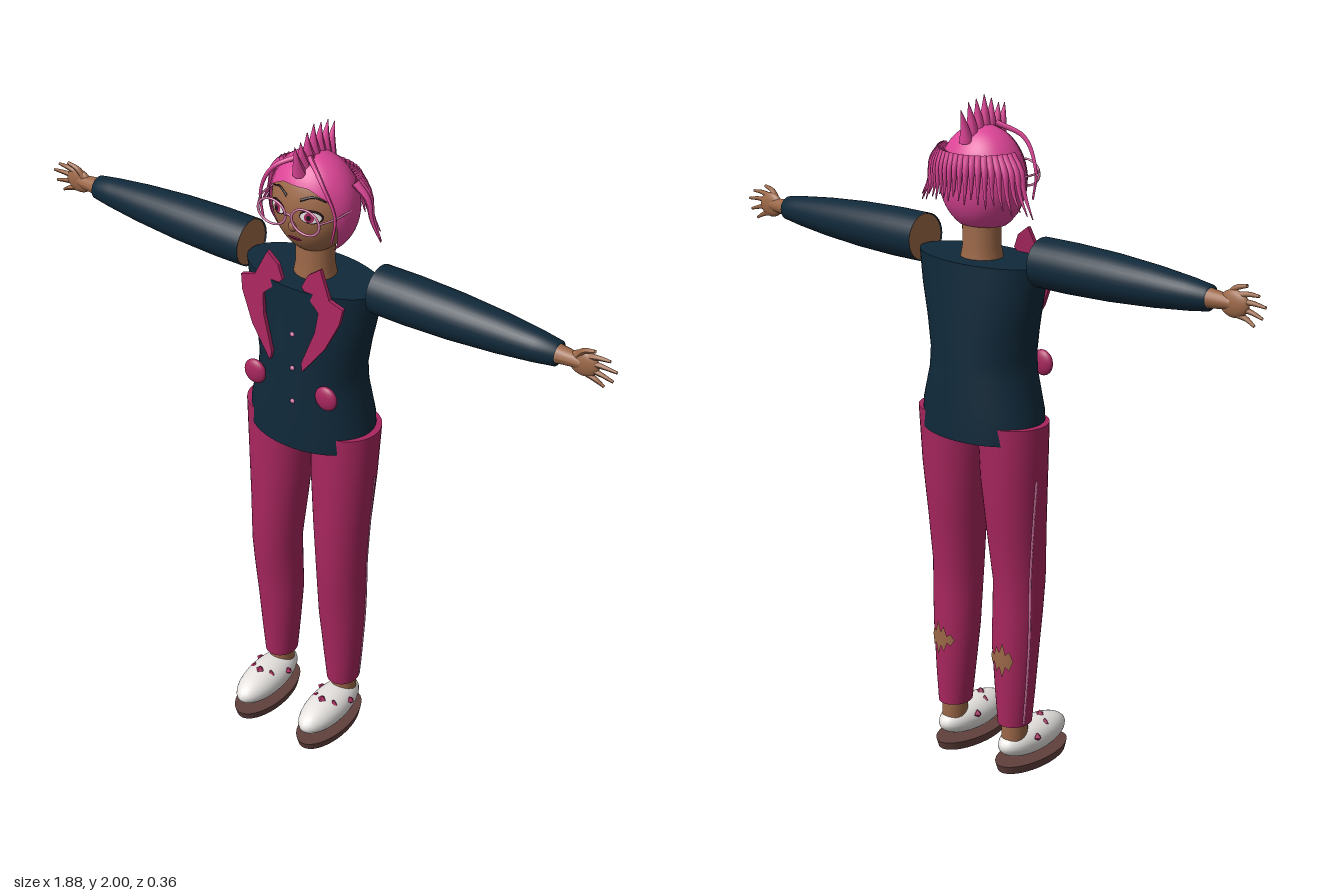
import * as THREE from 'three';

const mat = (name, color, side = THREE.FrontSide) => {
  const m = new THREE.MeshStandardMaterial({ color, side });
  m.name = name;
  return m;
};
const V = (x, y, z) => new THREE.Vector3(x, y, z);

export function createModel() {
  const model = new THREE.Group();
  model.name = 'figure';
  const D = THREE.DoubleSide;
  const navy = mat('navy cloth', 0x10293a, D), crimson = mat('crimson cloth', 0xa8265e, D);
  const hairPink = mat('pink hair', 0xdc4496, D), skin = mat('brown skin', 0x9c6848, D);
  const white = mat('white', 0xe9e6e3, D), sole = mat('sole brown', 0x60403c);
  const trim = mat('light pink trim', 0xd879aa, D), dark = mat('dark line', 0x22141a, D);

  const add = (name, geo, material, x = 0, y = 0, z = 0, parent = model) => {
    const m = new THREE.Mesh(geo, material);
    m.name = name;
    m.position.set(x, y, z);
    parent.add(m);
    return m;
  };
  const ball = (name, material, p, r, parent) =>
    add(name, new THREE.SphereGeometry(1, 28, 18).scale(...r), material, ...p, parent);

  // Elliptical cross-sections [y, cx, cz, rx, rz] from bottom to top, with flat caps
  const loft = (rows, n = 40) => {
    const pos = [], idx = [];
    const ring = ([y, cx, cz, rx, rz]) => {
      for (let j = 0; j < n; j++) {
        const a = (j / n) * Math.PI * 2;
        pos.push(cx + rx * Math.sin(a), y, cz + rz * Math.cos(a));
      }
    };
    rows.forEach(ring);
    for (let i = 0; i < rows.length - 1; i++) for (let j = 0; j < n; j++) {
      const k = (j + 1) % n, a = i * n, b = a + n;
      idx.push(a + j, a + k, b + k, a + j, b + k, b + j);
    }
    for (const top of [false, true]) {
      const row = rows[top ? rows.length - 1 : 0], s = pos.length / 3;
      ring(row);
      pos.push(row[1], row[0], row[2]);
      for (let j = 0; j < n; j++) {
        const k = (j + 1) % n;
        idx.push(s + n, s + (top ? j : k), s + (top ? k : j));
      }
    }
    const g = new THREE.BufferGeometry();
    g.setAttribute('position', new THREE.Float32BufferAttribute(pos, 3));
    g.setIndex(idx);
    g.computeVertexNormals();
    return g;
  };

  // Tube that tapers from radius r0 to r1
  const taper = (points, r0, r1, seg = 10, sides = 7) => {
    const path = new THREE.CatmullRomCurve3(points);
    const g = new THREE.TubeGeometry(path, seg, r0, sides), p = g.attributes.position;
    for (let i = 0; i < p.count; i++) {
      const u = Math.floor(i / (sides + 1)) / seg, c = path.getPointAt(u);
      const v = V(0, 0, 0).fromBufferAttribute(p, i).sub(c).multiplyScalar(1 + (r1 / r0 - 1) * u).add(c);
      p.setXYZ(i, v.x, v.y, v.z);
    }
    g.computeVertexNormals();
    return g;
  };

  // Move vertices of a geometry by a rule
  const bend = (g, rule) => {
    const p = g.attributes.position;
    for (let i = 0; i < p.count; i++) p.setXYZ(i, ...rule(p.getX(i), p.getY(i), p.getZ(i)));
    g.computeVertexNormals();
    return g;
  };

  // Head, with a narrower jaw
  const C = [0, 1.768, -0.045], R = [0.122, 0.146, 0.104];
  const jaw = (y) => (y < 0 ? 1 - 0.16 * (y / R[1]) ** 2 : 1);
  add('head', bend(new THREE.SphereGeometry(1, 40, 28).scale(...R), (x, y, z) => [x * jaw(y), y, z]), skin, ...C);
  add('neck', loft([[1.53, 0, -0.05, 0.066, 0.06], [1.58, 0, -0.05, 0.056, 0.053], [1.66, 0, -0.05, 0.056, 0.053]]), skin);
  const faceZ = (x, y) => {
    const a = x / (R[0] * jaw(y - C[1])), b = (y - C[1]) / R[1];
    return C[2] + R[2] * Math.sqrt(Math.max(0, 1 - a * a - b * b));
  };
  // Thin painted ellipse that follows the face
  const decal = (name, material, cx, cy, rx, ry, lift) =>
    add(name, bend(new THREE.RingGeometry(0.0001, 1, 24, 4), (x, y) => {
      const px = cx + x * rx, py = cy + y * ry;
      return [px, py, faceZ(px, py) + lift];
    }), material);
  const facePoint = (x, y, lift) => V(x, y, faceZ(x, y) + lift);

  for (const s of [1, -1]) {
    decal('eyeOutline', dark, s * 0.054, 1.776, 0.031, 0.021, 0.002);
    decal('eyeWhite', white, s * 0.054, 1.775, 0.027, 0.016, 0.004);
    decal('iris', crimson, s * 0.052, 1.775, 0.013, 0.015, 0.006);
    decal('pupil', dark, s * 0.052, 1.775, 0.006, 0.008, 0.008);
    add('eyebrow', taper([facePoint(s * 0.022, 1.818, 0.001), facePoint(s * 0.055, 1.83, 0.001), facePoint(s * 0.086, 1.818, 0.001)], 0.004, 0.002), dark);
    // Glasses: oval rim and half of the bridge
    add('glassesRim', new THREE.TorusGeometry(0.041, 0.0035, 8, 36).scale(1.1, 0.9, 1), trim, s * 0.055, 1.772, 0.076);
    add('glassesArm', taper([V(s * 0.1, 1.78, 0.076), V(s * 0.122, 1.783, 0.03), V(s * 0.128, 1.783, -0.04)], 0.003, 0.003), trim);
  }
  add('glassesBridge', taper([V(-0.011, 1.776, 0.076), V(0, 1.781, 0.078), V(0.011, 1.776, 0.076)], 0.0035, 0.0035), trim);
  ball('nose', skin, [0, 1.735, 0.056], [0.012, 0.016, 0.012]);
  decal('mouth', crimson, 0, 1.694, 0.022, 0.007, 0.003);
  decal('mouthLine', dark, 0, 1.695, 0.022, 0.0015, 0.005);

  // Hair cap: shell whose lower edge lifts over the face
  const smooth = THREE.MathUtils.smoothstep;
  const cap = bend(new THREE.PlaneGeometry(1, 1, 64, 24), (x, y) => {
    const a = (x + 0.5) * Math.PI * 2, off = Math.abs(Math.atan2(Math.sin(a), Math.cos(a)));
    const edge = 0.98 + 0.22 * smooth(off, 0.3, 0.9) + 1.35 * smooth(off, 0.8, 1.35);
    const t = (0.5 - y) * edge, r = Math.sin(t);
    return [0.132 * r * Math.sin(a), 0.15 * Math.cos(t), 0.11 * r * Math.cos(a)];
  });
  add('hairCap', cap, hairPink, ...C);

  // Crest of spikes from front to back
  const tips = [[0.046, 1.965], [0.02, 1.968], [-0.01, 1.985], [-0.04, 1.998], [-0.073, 1.99], [-0.105, 1.985], [-0.136, 1.968]];
  for (const [z, y] of tips) {
    const bz = -0.045 + (z + 0.045) * 0.75;
    const by = C[1] + 0.14 * Math.sqrt(1 - ((bz + 0.045) / 0.11) ** 2);
    add('crestSpike', taper([V(0, by, bz), V(0, (by + y) / 2, (bz + z) / 2 + 0.003), V(0, y, z)], 0.02, 0.0008, 8, 8), hairPink);
  }
  // Hanging strands round the back, flaring out at the sides
  const strands = 23;
  for (let i = 0; i < strands; i++) {
    const a = (i / (strands - 1) - 0.5) * 3.0, sx = Math.sin(a), cz = Math.cos(a), f = Math.abs(sx) ** 3;
    const low = 1.72 - 0.035 * f + 0.008 * (i % 3);
    add('hairStrand', taper([
      V(sx * 0.118, 1.85, -0.058 - cz * 0.09),
      V(sx * (0.134 + 0.022 * f), 1.81, -0.062 - cz * 0.1),
      V(sx * (0.136 + 0.034 * f), 1.75, -0.062 - cz * 0.104),
      V(sx * (0.138 + 0.062 * f), low, -0.062 - cz * 0.108)], 0.013, 0.0015), hairPink);
  }
  for (const s of [1, -1]) {
    add('faceStrand', taper([V(s * 0.012, 1.918, -0.005), V(s * 0.08, 1.878, 0.036), V(s * 0.122, 1.79, 0.035), V(s * 0.112, 1.71, 0.035)], 0.008, 0.003, 18), hairPink);
  }

  // Jacket body
  add('jacket', loft([
    [1.04, 0, -0.043, 0.2, 0.137], [1.12, 0, -0.043, 0.195, 0.136], [1.22, 0, -0.043, 0.168, 0.132],
    [1.28, 0, -0.043, 0.164, 0.13], [1.36, 0, -0.044, 0.178, 0.126], [1.46, 0, -0.045, 0.201, 0.12],
    [1.55, 0, -0.045, 0.215, 0.115]], 48), navy);
  for (const y of [1.42, 1.31, 1.2]) ball('button', trim, [0.022, y, 0.091], [0.007, 0.007, 0.005]);

  const legRows = [
    [0.15, 0.117, -0.04, 0.048, 0.055], [0.25, 0.116, -0.038, 0.058, 0.061], [0.4, 0.114, -0.034, 0.071, 0.069],
    [0.5, 0.116, -0.028, 0.073, 0.075], [0.6, 0.117, -0.022, 0.074, 0.08], [0.75, 0.113, -0.03, 0.083, 0.09],
    [0.92, 0.111, -0.04, 0.096, 0.098], [1.09, 0.112, -0.045, 0.104, 0.1]];
  const lapel = [[0.05, 1.6], [0.088, 1.628], [0.125, 1.548], [0.17, 1.535], [0.163, 1.49], [0.122, 1.4],
    [0.055, 1.31], [0.05, 1.335], [0.086, 1.44], [0.093, 1.5], [0.032, 1.56]];
  const fingers = [[0.92, 1.597], [0.941, 1.571], [0.932, 1.54], [0.908, 1.516]];
  const tear = [0, 0.35, 0.2, 0.75, 0.4, 1, 0.35, 0.55, 0];

  for (const s of [1, -1]) {
    const side = new THREE.Group();
    side.name = s > 0 ? 'leftSide' : 'rightSide';
    model.add(side);

    // Lapel leaning back towards the collar, and round pocket
    const shape = new THREE.Shape(lapel.map(([x, y]) => new THREE.Vector2(s * x, y)));
    const lap = new THREE.ExtrudeGeometry(shape, { depth: 0.012, bevelEnabled: false });
    add('lapel', bend(lap, (x, y, z) => [x, y, z + 0.08 - (y - 1.31) * 0.12]), crimson, 0, 0, 0, side);
    ball('pocket', crimson, [s * 0.122, 1.235, 0.07], [0.036, 0.038, 0.016], side);

    // Sleeve, open at the shoulder with the bare arm inside
    const profile = [[0.07, 0.215], [0.0705, 0.32], [0.066, 0.46], [0.056, 0.6], [0.044, 0.71], [0.035, 0.77], [0.015, 0.771]];
    const sleeve = add('sleeve', new THREE.LatheGeometry(profile.map((p) => new THREE.Vector2(...p)), 32), navy, 0, 1.566, -0.046, side);
    sleeve.rotation.z = -s * Math.PI / 2;
    const arm = add('arm', new THREE.CylinderGeometry(0.06, 0.067, 0.1, 32), skin, s * 0.268, 1.566, -0.046, side);
    arm.rotation.z = -s * Math.PI / 2;

    // Hand with spread fingers
    add('wrist', taper([V(s * 0.75, 1.566, -0.046), V(s * 0.79, 1.566, -0.046), V(s * 0.84, 1.566, -0.046)], 0.029, 0.018, 8, 16), skin, 0, 0, 0, side);
    ball('palm', skin, [s * 0.845, 1.565, -0.046], [0.045, 0.037, 0.016], side);
    fingers.forEach(([x, y], i) => {
      const by = 1.59 - i * 0.017;
      add('finger', taper([V(s * 0.855, by, -0.046), V(s * (0.855 + x) / 2, (by + y) / 2 + 0.003, -0.044), V(s * x, y, -0.046)], 0.01, 0.004), skin, 0, 0, 0, side);
    });
    add('thumb', taper([V(s * 0.825, 1.58, -0.044), V(s * 0.845, 1.605, -0.04), V(s * 0.878, 1.616, -0.038)], 0.011, 0.005), skin, 0, 0, 0, side);

    // Trouser leg, side stripe and torn patch on the calf
    add('trouserLeg', loft(legRows.map(([y, cx, ...r]) => [y, s * cx, ...r])), crimson, 0, 0, 0, side);
    add('sideStripe', taper(legRows.slice(0, 7).map(([y, cx, cz, rx, rz]) =>
      V(s * (cx + rx * Math.sqrt(1 - ((-0.055 - cz) / rz) ** 2)), y + 0.01, -0.055)), 0.004, 0.004, 24, 6), trim, 0, 0, 0, side);
    add('tornPatch', bend(new THREE.PlaneGeometry(0.084, 1, 8, 2), (x, y) => {
      const h = tear[Math.round((x / 0.084 + 0.5) * 8)] * 0.11;
      return [s * (0.114 + x), 0.37 + y * h, -0.035 - 0.071 * Math.sqrt(1 - (x / 0.07) ** 2) - 0.003];
    }), skin, 0, 0, 0, side);

    // Ankle, shoe and sole
    add('ankle', loft([[0.08, s * 0.118, -0.042, 0.037, 0.042], [0.16, s * 0.118, -0.042, 0.037, 0.042]], 24), skin, 0, 0, 0, side);
    ball('shoe', white, [s * 0.118, 0.078, 0.038], [0.06, 0.052, 0.14], side);
    const base = add('shoeSole', new THREE.CylinderGeometry(1, 0.94, 0.026, 40), sole, s * 0.118, 0.02, 0.036, side);
    base.geometry.scale(0.07, 1, 0.146);
    base.geometry.translate(0, -0.007, 0);
    for (const [x, y, z] of [[0.171, 0.096, 0.0], [0.065, 0.096, 0.0], [0.118, 0.127, 0.075], [0.15, 0.115, 0.06], [0.088, 0.115, 0.06]]) {
      add('shoePatch', new THREE.OctahedronGeometry(0.014), crimson, s * x, y, z, side);
    }
  }
  return model;
}
